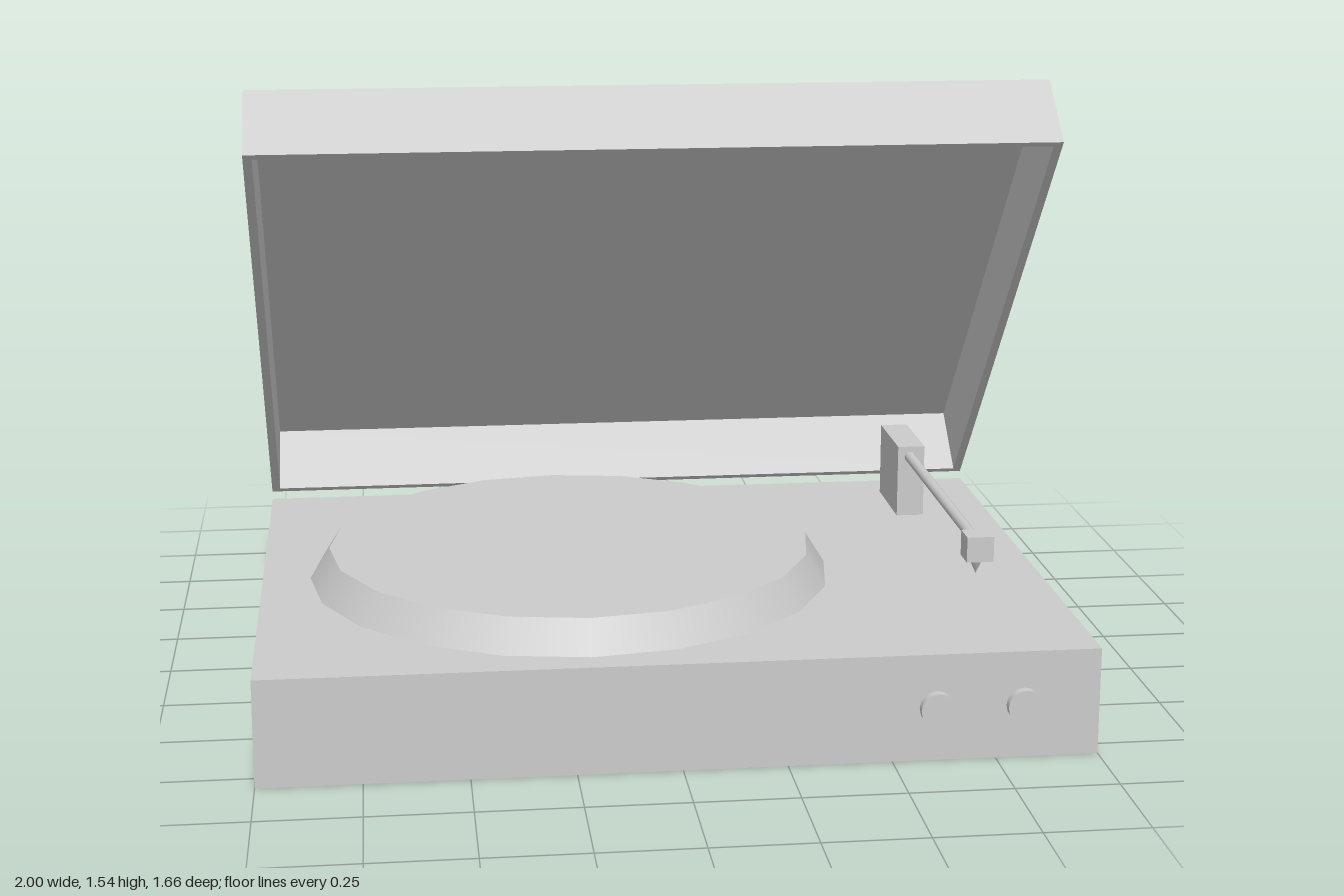
import * as THREE from 'three';

const grey = new THREE.MeshStandardMaterial({ color: 0xcccccc });

export function createModel() {
  const model = new THREE.Group();
  model.name = 'recordPlayer';

  const add = (name, geometry, x, y, z, parent = model) => {
    const mesh = new THREE.Mesh(geometry, grey);
    mesh.name = name;
    mesh.position.set(x, y, z);
    parent.add(mesh);
    return mesh;
  };

  // Plinth and tapered platter
  add('base', new THREE.BoxGeometry(2, 0.265, 1.48), 0, 0.1325, 0.07);
  add('platter', new THREE.CylinderGeometry(0.62, 0.67, 0.08, 20), -0.208, 0.305, 0.07);

  // Control knobs on the front
  for (const x of [0.605, 0.815]) {
    const knob = add('knob', new THREE.CylinderGeometry(0.042, 0.042, 0.03, 16), x, 0.132, 0.817);
    knob.rotation.x = Math.PI / 2;
  }

  // Tonearm: pivot block, rod, head and stylus
  const tonearm = new THREE.Group();
  tonearm.name = 'tonearm';
  model.add(tonearm);
  add('pivotBlock', new THREE.BoxGeometry(0.074, 0.2, 0.24), 0.775, 0.363, -0.436, tonearm);
  const rod = add('armRod', new THREE.CylinderGeometry(0.0145, 0.0145, 0.8, 12), 0.771, 0.434, 0.08, tonearm);
  rod.rotation.x = Math.PI / 2;
  add('head', new THREE.BoxGeometry(0.067, 0.064, 0.067), 0.767, 0.431, 0.501, tonearm);
  const stylus = add('stylus', new THREE.ConeGeometry(0.018, 0.04, 8), 0.764, 0.381, 0.503, tonearm);
  stylus.rotation.x = Math.PI;

  // Hollow lid, tilted open about its lower back edge
  const lid = new THREE.Group();
  lid.name = 'lid';
  lid.position.set(0, 0.286, -0.672);
  lid.rotation.x = -THREE.MathUtils.degToRad(48.7);
  model.add(lid);

  const length = 1.484, height = 0.206, panel = 0.01, side = 0.022, end = 0.015;
  const rectangle = (Type, x, y0, y1) => new Type([
    new THREE.Vector2(-x, y0), new THREE.Vector2(x, y0),
    new THREE.Vector2(x, y1), new THREE.Vector2(-x, y1),
  ]);
  const frame = rectangle(THREE.Shape, 1, 0, length);
  frame.holes.push(rectangle(THREE.Path, 1 - side, end, length - end));
  const walls = new THREE.ExtrudeGeometry(frame, { depth: height - panel, bevelEnabled: false });
  walls.rotateX(Math.PI / 2);
  add('lidWalls', walls, 0, height - panel, 0, lid);
  add('lidPanel', new THREE.BoxGeometry(2, panel, length), 0, height - panel / 2, length / 2, lid);

  return model;
}
